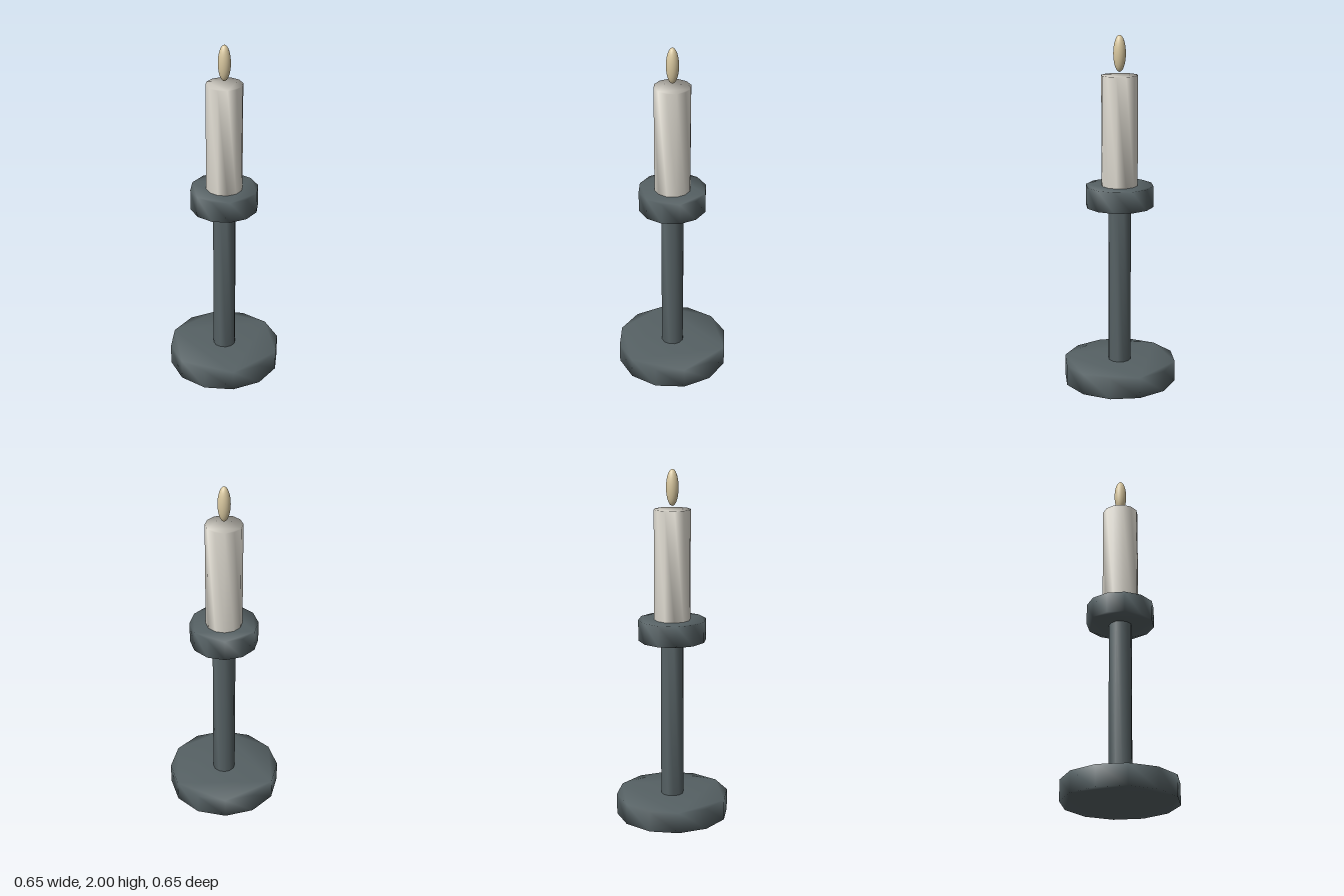
import * as THREE from 'three';
import { mergeVertices } from 'three/addons/utils/BufferGeometryUtils.js';

const SIDES = 12;

// Twelve-sided disc or column whose normals are blended over the rims
function softPrism(radius, bottom, top) {
  const points = [];
  for (let i = 0; i < SIDES; i++) {
    const a = (i / SIDES) * Math.PI * 2;
    points.push(new THREE.Vector2(Math.cos(a) * radius, Math.sin(a) * radius));
  }
  let geometry = new THREE.ExtrudeGeometry(new THREE.Shape(points), {
    depth: top - bottom, bevelEnabled: false, steps: 1,
  });
  geometry.rotateX(-Math.PI / 2);
  geometry.translate(0, bottom, 0);
  geometry.deleteAttribute('uv');
  geometry.deleteAttribute('normal');
  geometry.clearGroups();
  geometry = mergeVertices(geometry, 1e-4);
  geometry.computeVertexNormals();
  return geometry;
}

export function createModel() {
  const metal = new THREE.MeshStandardMaterial({ color: 0x566164 });
  metal.name = 'dark metal';
  const wax = new THREE.MeshStandardMaterial({ color: 0xdedad0 });
  wax.name = 'ivory wax';
  const glow = new THREE.MeshStandardMaterial({ color: 0xd9c8a0 });
  glow.name = 'pale flame';

  const group = new THREE.Group();
  group.name = 'candlestick';
  const add = (name, geometry, material) => {
    const mesh = new THREE.Mesh(geometry, material);
    mesh.name = name;
    group.add(mesh);
    return mesh;
  };

  // Holder, from the foot up
  add('base', softPrism(0.325, 0, 0.12), metal);
  add('stem', softPrism(0.065, 0.12, 1.04), metal);
  add('dripPan', softPrism(0.193, 1.04, 1.16), metal);

  // Candle and its floating flame
  add('candle', softPrism(0.103, 1.16, 1.78), wax);
  const flame = add('flame', new THREE.SphereGeometry(1, 24, 16), glow);
  flame.scale.set(0.035, 0.101, 0.035);
  flame.position.y = 1.899;

  return group;
}
